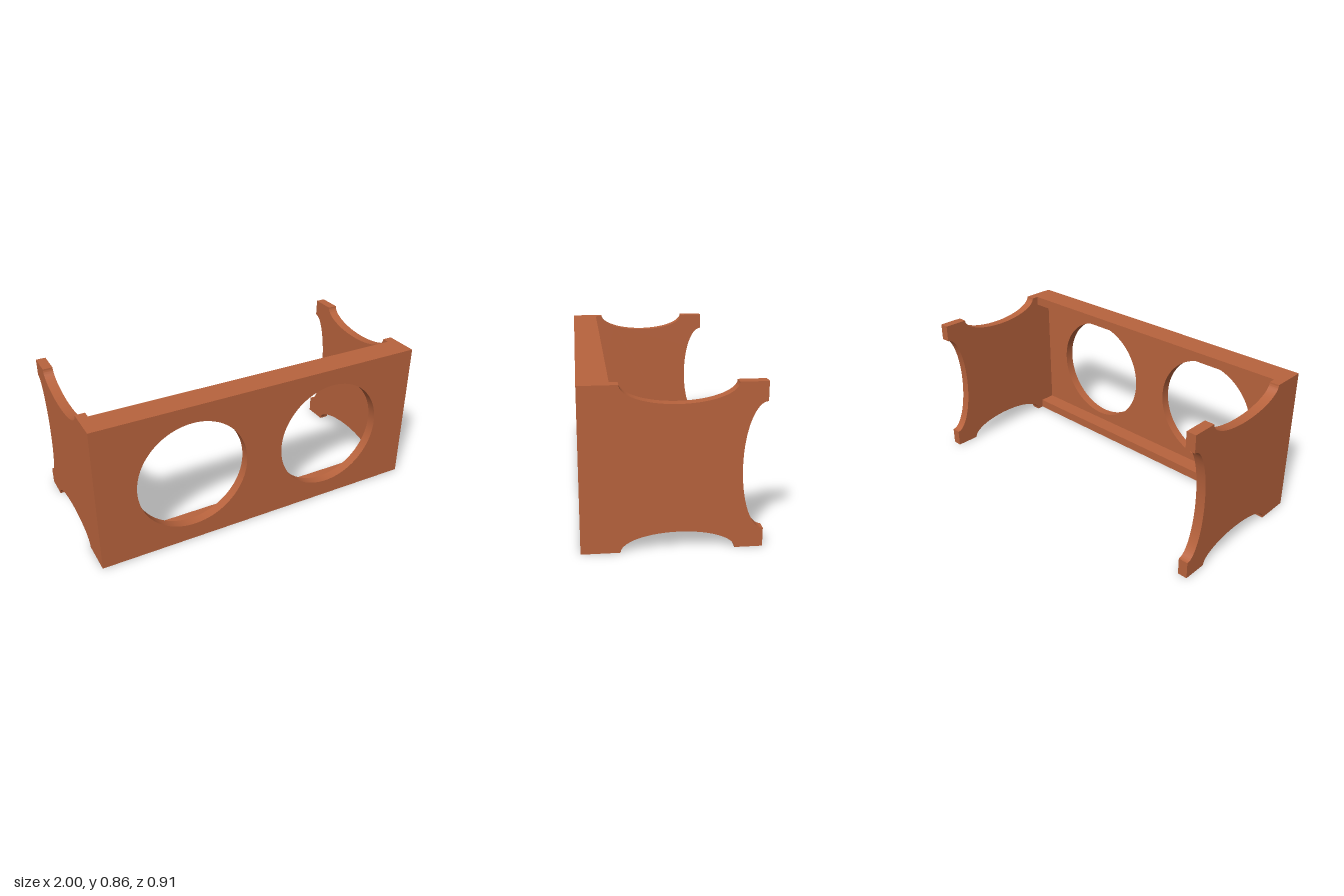
import * as THREE from 'three';
import { toCreasedNormals } from 'three/addons/utils/BufferGeometryUtils.js';

const H = 0.858;      // height
const T = 0.056;      // wall thickness
const FRONT = 0.456;  // front plane; the back ends at -FRONT
const material = new THREE.MeshStandardMaterial({ color: 0xb8633d });

function extrude(shape) {
  const geo = new THREE.ExtrudeGeometry(shape, { depth: T, bevelEnabled: false, curveSegments: 48 });
  return toCreasedNormals(geo, 0.5);
}

function add(group, name, geo, x, y, z) {
  const mesh = new THREE.Mesh(geo, material);
  mesh.name = name;
  mesh.position.set(x, y, z);
  group.add(mesh);
}

export function createModel() {
  const group = new THREE.Group();
  group.name = 'bracket';

  // Front plate with two round openings
  const plate = new THREE.Shape();
  plate.moveTo(-1, 0).lineTo(1, 0).lineTo(1, H).lineTo(-1, H).closePath();
  for (const s of [-1, 1]) {
    plate.holes.push(new THREE.Path().absarc(s * 0.442, H / 2, 0.33, 0, Math.PI * 2, true));
  }
  add(group, 'frontPlate', extrude(plate), 0, 0, FRONT - T);

  // Side plates: elliptical scallops in the bottom, top and back edges
  const side = new THREE.Shape();
  const zc = -0.028, rz = 0.286, front = FRONT - T;
  side.moveTo(-FRONT, 0).lineTo(zc - rz, 0);
  side.absellipse(zc, 0, rz, 0.1, Math.PI, 0, true);
  side.lineTo(front, 0).lineTo(front, H).lineTo(zc + rz, H);
  side.absellipse(zc, H, rz, 0.1, 0, Math.PI, true);
  side.lineTo(-FRONT, H).lineTo(-FRONT, H / 2 + 0.33);
  side.absellipse(-FRONT, H / 2, 0.113, 0.33, Math.PI / 2, -Math.PI / 2, true);
  side.closePath();
  const sideGeo = extrude(side).rotateY(-Math.PI / 2);
  add(group, 'leftSide', sideGeo, 1, 0, 0);
  add(group, 'rightSide', sideGeo, -1 + T, 0, 0);

  // Ledges running behind the front plate along its top and bottom
  const lipDepth = front - 0.3;
  const lip = new THREE.BoxGeometry(2 - 2 * T, T, lipDepth);
  add(group, 'topLedge', lip, 0, H - T / 2, front - lipDepth / 2);
  add(group, 'bottomLedge', lip, 0, T / 2, front - lipDepth / 2);

  return group;
}
